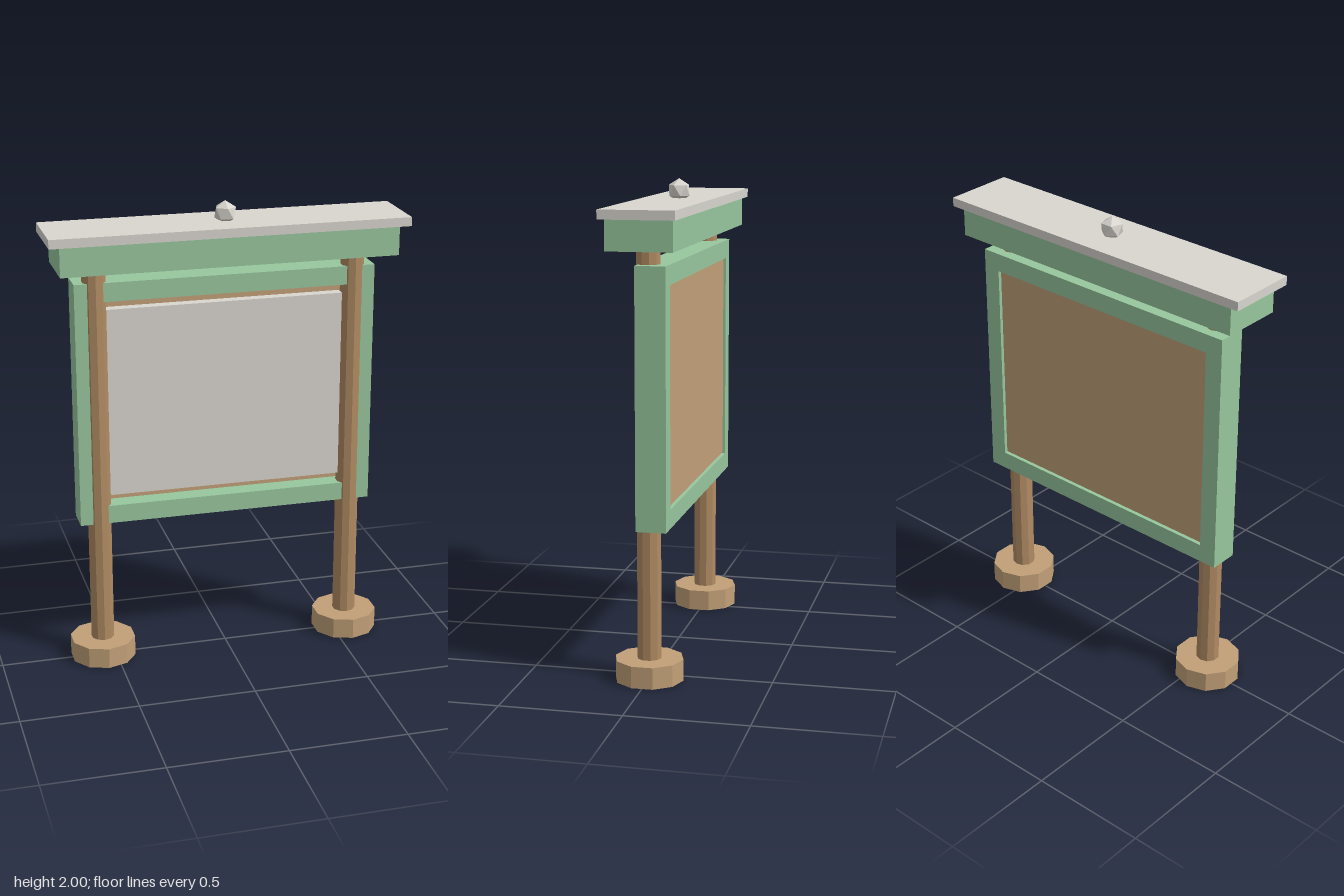
import * as THREE from 'three';

const material = (color) => new THREE.MeshStandardMaterial({ color, flatShading: true });

export function createModel() {
  const group = new THREE.Group();
  const green = material(0x98c79e);
  const wood = material(0xc2a078);
  const darkWood = material(0xb08b63);
  const pale = material(0xd9d6cf);

  function add(name, geometry, mat, x = 0, y = 0, z = 0) {
    const mesh = new THREE.Mesh(geometry, mat);
    mesh.name = name;
    mesh.position.set(x, y, z);
    group.add(mesh);
    return mesh;
  }

  // box given by half width, bottom, top, back and front
  function slab(name, mat, halfWidth, y0, y1, z0, z1) {
    return add(name, new THREE.BoxGeometry(halfWidth * 2, y1 - y0, z1 - z0), mat,
      0, (y0 + y1) / 2, (z0 + z1) / 2);
  }

  // ten-sided posts standing on round feet
  for (const [side, label] of [[1, 'left'], [-1, 'right']]) {
    add(label + 'Foot', new THREE.CylinderGeometry(0.142, 0.142, 0.09, 10), wood, side * 0.555, 0.045);
    add(label + 'Post', new THREE.CylinderGeometry(0.05, 0.05, 1.78, 10), darkWood, side * 0.555, 0.89);
  }

  // frame with a rectangular opening
  const rect = (path, w, y0, y1) => path.moveTo(-w, y0).lineTo(w, y0).lineTo(w, y1).lineTo(-w, y1).closePath();
  const frameShape = rect(new THREE.Shape(), 0.643, 0.635, 1.695);
  frameShape.holes.push(rect(new THREE.Path(), 0.565, 0.714, 1.615));
  add('frame', new THREE.ExtrudeGeometry(frameShape, { depth: 0.125, bevelEnabled: false }), green, 0, 0, -0.09);

  // backing board and the notice panel mounted on it
  slab('backBoard', wood, 0.56, 0.72, 1.61, -0.08, -0.03);
  slab('noticePanel', pale, 0.52, 0.755, 1.575, -0.032, 0.015);

  // header beam and roof
  slab('headerBeam', green, 0.713, 1.755, 1.88, -0.135, 0.135);
  slab('roof', pale, 0.758, 1.88, 1.918, -0.153, 0.153);

  // faceted finial with one corner pointing up
  const finial = new THREE.IcosahedronGeometry(0.05, 0);
  finial.rotateZ(-Math.atan(2 / (1 + Math.sqrt(5))));
  finial.rotateY(-Math.PI / 2);
  add('finial', finial, pale, 0, 1.95);

  return group;
}
